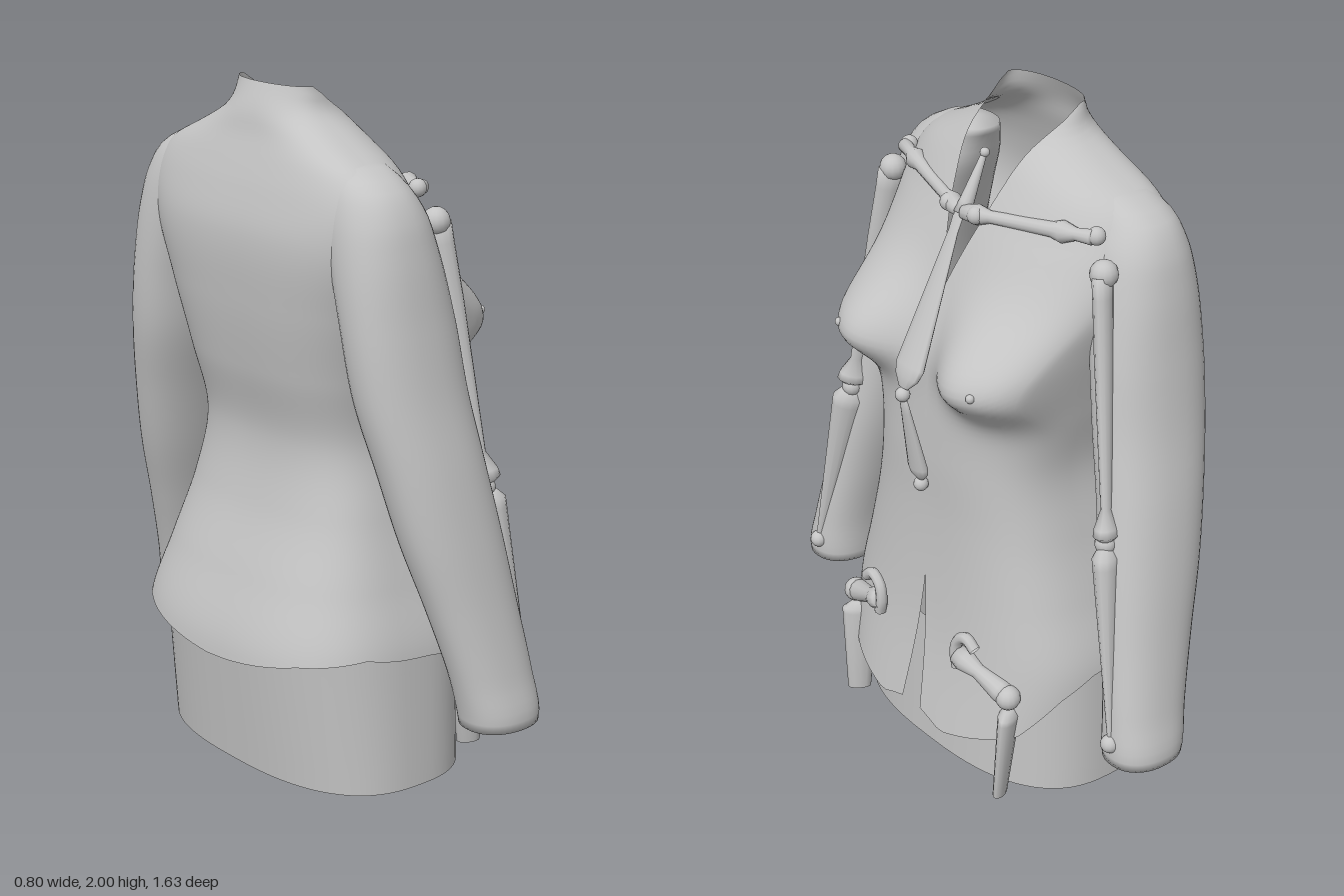
import * as THREE from 'three';
import { mergeVertices } from 'three/addons/utils/BufferGeometryUtils.js';

const grey = new THREE.MeshStandardMaterial({ color: 0xc4c4c4, side: THREE.DoubleSide });
grey.name = 'plain grey';

const V = (x, y, z) => new THREE.Vector3(x, y, z);

// Smooth lookup in a table whose rows are [y, value, value, ...]
function table(rows) {
  const n = rows[0].length - 1;
  const curve = new THREE.CubicInterpolant(rows.map(r => r[0]), rows.flatMap(r => r.slice(1)), n, new Float32Array(n));
  const lo = rows[0][0], hi = rows[rows.length - 1][0];
  return y => Array.from(curve.evaluate(THREE.MathUtils.clamp(y, lo, hi)));
}

// Straight-line lookup in [y, value] pairs
function linear(pairs, y) {
  for (let i = 1; i < pairs.length; i++) {
    const [a, va] = pairs[i - 1], [b, vb] = pairs[i];
    if (y <= b) return THREE.MathUtils.mapLinear(Math.max(y, a), a, b, va, vb);
  }
  return pairs[pairs.length - 1][1];
}

// Skin over a grid of points, welded where points meet
function skin(rows, cols, point) {
  const pos = [], idx = [];
  for (let i = 0; i <= rows; i++) for (let j = 0; j <= cols; j++) pos.push(...point(i / rows, j / cols));
  for (let i = 0; i < rows; i++) for (let j = 0; j < cols; j++) {
    const a = i * (cols + 1) + j, b = a + cols + 1;
    idx.push(a, b, a + 1, b, b + 1, a + 1);
  }
  let g = new THREE.BufferGeometry();
  g.setAttribute('position', new THREE.Float32BufferAttribute(pos, 3));
  g.setIndex(idx);
  g = mergeVertices(g, 1e-4);
  g.computeVertexNormals();
  return g;
}

const spow = (v, p) => Math.sign(v) * Math.abs(v) ** p;

// Body sections: y, back x, front x, x of the widest point, half width
const bodyAt = table([
  [0.10, -0.40, 0.385, 0, 0.48], [0.40, -0.395, 0.33, -0.02, 0.495],
  [0.60, -0.33, 0.31, -0.01, 0.44], [0.80, -0.26, 0.30, 0, 0.385],
  [1.00, -0.23, 0.30, 0.02, 0.352], [1.20, -0.27, 0.29, 0, 0.385],
  [1.40, -0.30, 0.25, -0.06, 0.43], [1.60, -0.31, 0.19, -0.10, 0.485],
  [1.72, -0.285, 0.14, -0.12, 0.48], [1.80, -0.26, 0.10, -0.12, 0.415],
  [1.86, -0.24, 0.07, -0.11, 0.295], [1.92, -0.225, 0.03, -0.11, 0.19],
  [2.00, -0.19, -0.06, -0.13, 0.155]]);

// Squareness of the sections in front and behind
const frontSquare = [[1.35, 3], [1.7, 2], [2, 2]];
const backSquare = [[1.85, 3], [1.97, 2.1], [2, 2.1]];
// Half width of the front opening: hem slit below, V neck above
const opening = [[0.13, 0.045], [0.58, 0], [1.5, 0], [1.6, 0.035], [1.7, 0.07], [1.8, 0.1], [1.9, 0.13], [1.97, 0.155], [2, 0.155]];
// Hem height from front (0) to back (1)
const hem = [[0, 0.16], [0.04, 0.13], [0.25, 0.21], [0.36, 0.33], [0.45, 0.39], [0.6, 0.43], [0.8, 0.41], [1, 0.36]];

function torsoPoint(v, u) {
  const low = linear(hem, 1 - Math.abs(2 * u - 1));
  const y = low + (2 - low) * v;
  const [back, front, mid, w] = bodyAt(y);
  const nf = linear(frontSquare, y);
  const start = Math.asin(Math.min(1, linear(opening, y) / w) ** (nf / 2));
  const a = start + (2 * Math.PI - 2 * start) * u;
  const c = Math.cos(a), p = 2 / (c > 0 ? nf : linear(backSquare, y));
  const z = w * spow(Math.sin(a), p);
  let x = mid + (c > 0 ? front - mid : mid - back) * spow(c, p);
  if (c > 0) { // bust
    const g = Math.exp(-(((y - 1.31) / (y > 1.31 ? 0.17 : 0.1)) ** 2));
    x += 0.155 * g * Math.exp(-((Math.abs(Math.abs(z) - 0.32) / 0.23) ** 3)) * Math.min(1, c * 3);
  }
  return [x, y, z];
}

function lowerPoint(v, u) {
  const a = u * 2 * Math.PI, c = Math.cos(a);
  const r = c > 0 ? 0.31 - 0.01 * v : 0.31 + 0.05 * v;
  return [r * spow(c, 0.77), 0.43 * v, (0.49 - 0.012 * v) * spow(Math.sin(a), 0.77)];
}

// Arm sections: y, back x, front x, inner z, outer z
const armAt = table([
  [0.25, -0.025, 0.205, 0.618, 0.81], [0.28, -0.03, 0.21, 0.615, 0.815], [0.40, -0.055, 0.2, 0.605, 0.79],
  [0.60, -0.11, 0.175, 0.56, 0.752], [0.80, -0.17, 0.15, 0.505, 0.718], [1.00, -0.215, 0.12, 0.455, 0.68],
  [1.20, -0.255, 0.095, 0.40, 0.635], [1.40, -0.27, 0.075, 0.36, 0.60], [1.60, -0.265, 0.04, 0.30, 0.565],
  [1.70, -0.25, 0.015, 0.26, 0.535], [1.77, -0.225, -0.02, 0.24, 0.485], [1.81, -0.195, -0.04, 0.22, 0.415],
  [1.84, -0.15, -0.07, 0.2, 0.345]]);

const armPoint = side => (v, u) => {
  const y = v === 0 ? 0.265 : 0.235 + 1.605 * v, a = u * 2 * Math.PI;
  const [x0, x1, z0, z1] = armAt(y);
  const k = v === 0 || v === 1 ? 0 : 0.5; // close both ends
  return [(x0 + x1) / 2 + k * (x1 - x0) * spow(Math.cos(a), 0.9), y,
    side * ((z0 + z1) / 2 + k * (z1 - z0) * spow(Math.sin(a), 0.9))];
};

export function createModel() {
  const model = new THREE.Group();
  model.name = 'dressForm';
  const add = (name, geometry) => {
    const m = new THREE.Mesh(geometry, grey);
    m.name = name;
    model.add(m);
    return m;
  };
  const ball = (name, p, r) => add(name, new THREE.SphereGeometry(r, 14, 10)).position.copy(p);
  // Turned bone from a to b; profile holds [share of length, radius]
  const bone = (name, a, b, profile, flat = 1) => {
    const d = b.clone().sub(a), len = d.length();
    const pts = [[0, 0], ...profile, [1, 0]].map(([t, r]) => new THREE.Vector2(r, t * len));
    const m = add(name, new THREE.LatheGeometry(pts, 12));
    m.position.copy(a);
    m.quaternion.setFromUnitVectors(V(0, 1, 0), d.normalize());
    m.scale.x = flat;
  };

  add('torso', skin(90, 120, torsoPoint));
  add('lowerBody', skin(6, 72, lowerPoint));

  // Centre bones: neck pin, breastbone and its tip
  bone('neckPin', V(0.16, 1.70, 0), V(0.085, 1.85, 0), [[0, 0.026], [0.2, 0.022], [1, 0.009]]);
  ball('neckPinTip', V(0.08, 1.86, 0), 0.014);
  bone('breastbone', V(0.16, 1.73, 0), V(0.375, 1.23, 0), [[0, 0.022], [0.15, 0.02], [0.88, 0.06], [0.94, 0.05], [1, 0.02]], 0.3);
  ball('breastboneJoint', V(0.378, 1.21, 0), 0.022);
  bone('breastboneTip', V(0.375, 1.19, 0), V(0.322, 0.92, 0), [[0, 0.016], [0.15, 0.02], [0.85, 0.04], [0.93, 0.035], [1, 0.016]], 0.5);
  ball('breastboneEnd', V(0.32, 0.90, 0), 0.022);

  for (const s of [1, -1]) {
    const P = (x, y, z) => V(x, y, s * z);
    add('arm', skin(60, 40, armPoint(s)));
    ball('nipple', P(0.375, 1.32, 0.3), 0.013);

    // Collarbone
    bone('collarbone', P(0.165, 1.71, 0.01), P(0.045, 1.74, 0.41),
      [[0, 0.02], [0.12, 0.03], [0.22, 0.018], [0.7, 0.022], [0.78, 0.032], [0.88, 0.018], [1, 0.022]]);
    ball('collarboneEnd', P(0.03, 1.74, 0.41), 0.026);
    ball('collarboneRoot', P(0.16, 1.715, 0.06), 0.026);

    // Arm bones
    ball('shoulderJoint', P(0.05, 1.655, 0.465), 0.04);
    bone('upperArmBone', P(0.055, 1.65, 0.465), P(0.13, 0.92, 0.59),
      [[0, 0.04], [0.08, 0.038], [0.3, 0.036], [0.88, 0.022], [0.95, 0.048], [0.98, 0.052], [1, 0.03]], 0.7);
    ball('elbowJoint', P(0.135, 0.91, 0.59), 0.031);
    bone('forearmBone', P(0.135, 0.9, 0.592), P(0.2, 0.34, 0.703),
      [[0, 0.03], [0.05, 0.054], [0.1, 0.052], [0.97, 0.014], [1, 0.013]], 0.7);
    ball('wristJoint', P(0.205, 0.33, 0.705), 0.027);

    // Hip hook, joint and thigh bone
    const hook = new THREE.CatmullRomCurve3([P(0.335, 0.465, 0.262), P(0.338, 0.49, 0.225), P(0.34, 0.465, 0.19), P(0.342, 0.42, 0.18), P(0.342, 0.375, 0.19)]);
    add('hipHook', new THREE.TubeGeometry(hook, 20, 0.018, 8));
    bone('hipLink', P(0.295, 0.34, 0.375), P(0.34, 0.42, 0.185), [[0, 0.035], [0.2, 0.034], [0.6, 0.023], [0.85, 0.036], [1, 0.03]]);
    ball('hipJoint', P(0.3, 0.345, 0.37), 0.037);
    bone('thighBone', P(0.29, 0.3, 0.365), P(0.315, 0, 0.35), [[0, 0.03], [0.06, 0.056], [0.12, 0.055], [1, 0.036]], 0.5);
  }
  return model;
}
